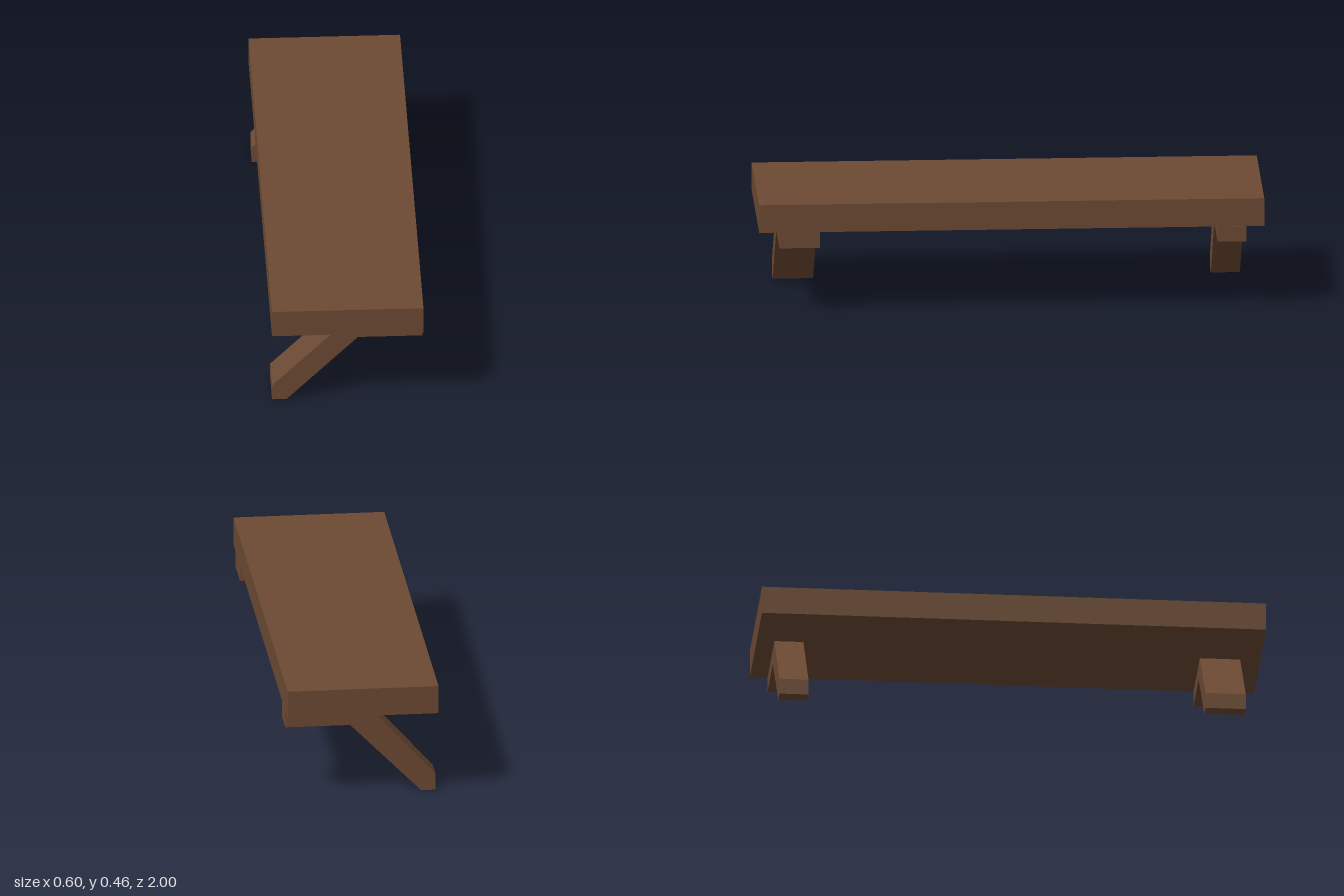
import * as THREE from 'three';

export function createModel() {
  const model = new THREE.Group();
  model.name = 'wallShelf';
  const wood = new THREE.MeshStandardMaterial({ color: 0x6d4a34 });
  wood.name = 'brown wood';

  // Plank
  const board = new THREE.Mesh(new THREE.BoxGeometry(0.6, 0.114, 2), wood);
  board.name = 'board';
  board.position.set(-0.002, 0.405, 0);
  model.add(board);

  // Bent bracket: level arm under the board, then a sloping leg with a clipped foot
  function addBracket(name, zBack, zFront, armEnd, armBottom, legTop) {
    const profile = new THREE.Shape([
      [-0.298, 0], [-0.24, 0], [0.042, armBottom], [armEnd, armBottom],
      [armEnd, 0.348], [legTop, 0.348], [-0.298, 0.065],
    ].map(([x, y]) => new THREE.Vector2(x, y)));
    const geometry = new THREE.ExtrudeGeometry(profile, { depth: zFront - zBack, bevelEnabled: false });
    const bracket = new THREE.Mesh(geometry, wood);
    bracket.name = name;
    bracket.position.z = zBack;
    model.add(bracket);
  }
  addBracket('frontBracket', 0.76, 0.92, 0.298, 0.283, -0.015);
  addBracket('backBracket', -0.93, -0.815, 0.3, 0.286, -0.042);

  return model;
}
